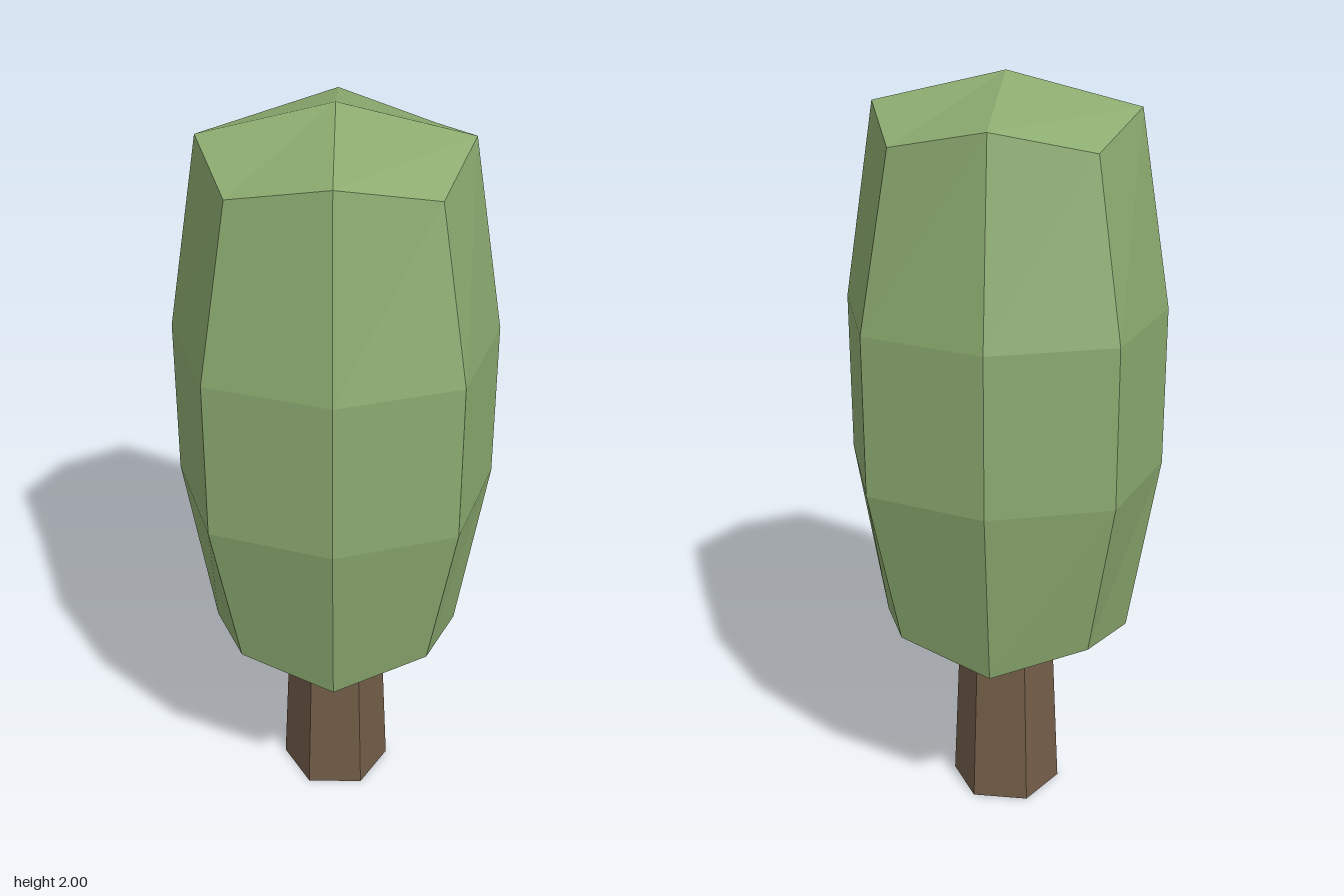
import * as THREE from 'three';

// Crown: a subdivided box rounded by moving its vertices by rule
function makeCrown() {
  const geo = new THREE.BoxGeometry(2, 2, 2, 2, 3, 2);
  const pos = geo.attributes.position;
  const capTop = [2.0, 1.92, 1.86];      // centre, edge middle, corner
  const capBottom = [0.43, 0.51, 0.565];
  for (let n = 0; n < pos.count; n++) {
    const x = Math.round(pos.getX(n));
    const z = Math.round(pos.getZ(n));
    const level = pos.getY(n);
    const kind = Math.abs(x) + Math.abs(z);
    const isCap = Math.abs(level) > 0.9;
    const reach = isCap ? [0, 0.33, 0.245][kind] : [0, 0.41, 0.31][kind];
    const y = isCap ? (level > 0 ? capTop : capBottom)[kind] : (level > 0 ? 1.42 : 1.0);
    pos.setXYZ(n, x * reach, y, z * reach);
  }
  const flat = geo.toNonIndexed();
  flat.computeVertexNormals();
  const mesh = new THREE.Mesh(flat, new THREE.MeshStandardMaterial({ color: 0x8cab70, flatShading: true }));
  mesh.name = 'crown';
  return mesh;
}

// Trunk: tapered six-sided tube, open below, ending inside the crown
function makeTrunk() {
  const height = 0.52;
  const geo = new THREE.CylinderGeometry(0.126, 0.149, height, 6, 1, true);
  geo.rotateY(Math.PI / 6); // corners on the x axis
  geo.translate(0, height / 2, 0);
  const mesh = new THREE.Mesh(geo, new THREE.MeshStandardMaterial({
    color: 0x735d49, flatShading: true, side: THREE.DoubleSide,
  }));
  mesh.name = 'trunk';
  return mesh;
}

export function createModel() {
  const tree = new THREE.Group();
  tree.name = 'tree';
  tree.add(makeTrunk(), makeCrown());
  return tree;
}
